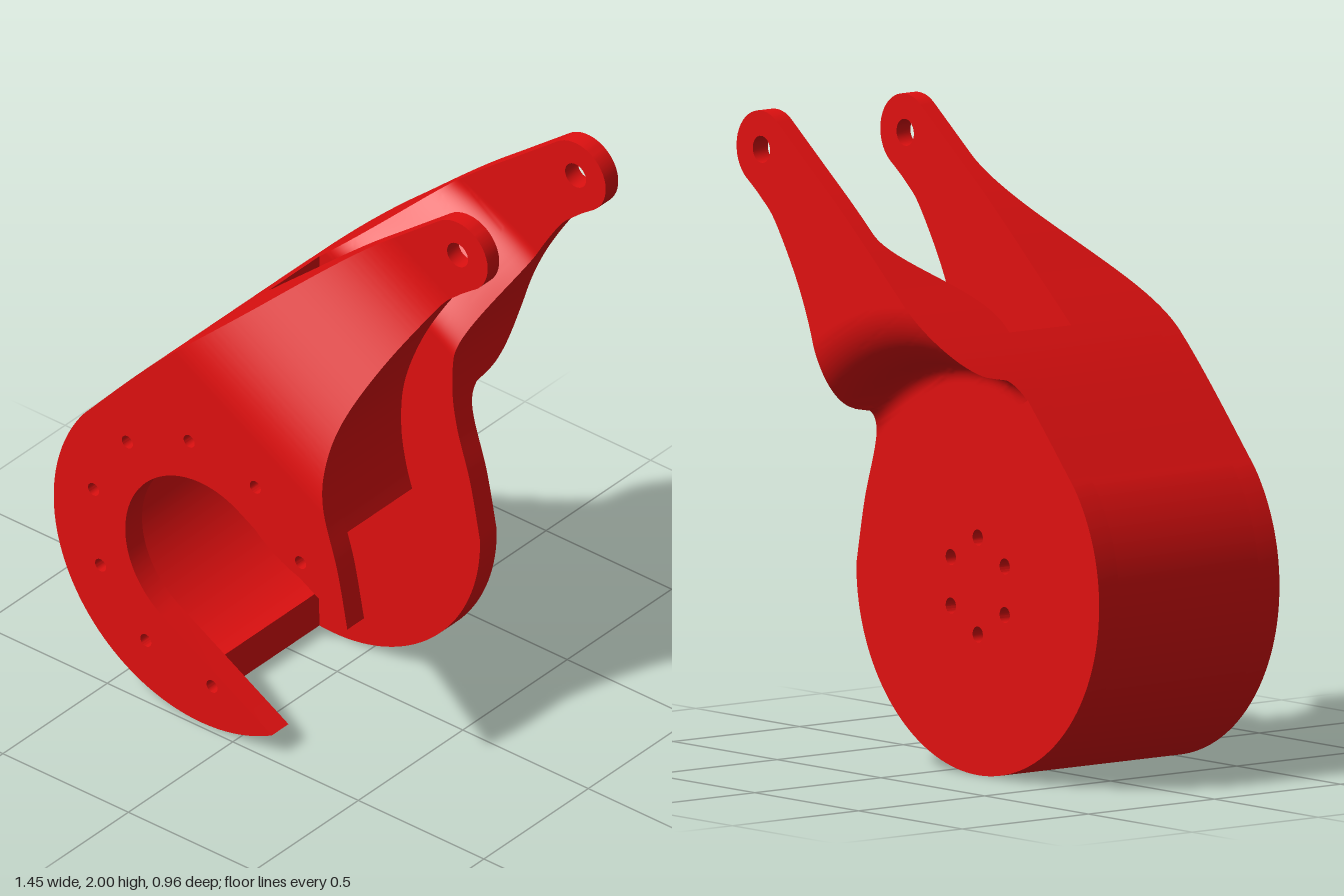
import * as THREE from 'three';
import { toCreasedNormals } from 'three/addons/utils/BufferGeometryUtils.js';

// Local frame: X across the arm, Y along the arm, origin at the hub centre.
const RAD = Math.PI / 180, HUB = 0.585, TIP = 0.12, TIP_Y = 1.49;
const C = Math.cos(30 * RAD), S = 0.5;
const material = new THREE.MeshStandardMaterial({ color: 0xe01010 });
const P = (x, y) => new THREE.Vector2(x, y);

function arc(cx, cy, r, a0, a1, n) {
  return Array.from({ length: n + 1 }, (_, i) => {
    const a = (a0 + (a1 - a0) * i / n) * RAD;
    return P(cx + r * Math.cos(a), cy + r * Math.sin(a));
  });
}

// Side curves of the silhouette, from hub to tip
const spline = (list) => new THREE.SplineCurve(list.map(([x, y]) => P(x, y))).getPoints(70);
const rightEdge = spline([[0.501, 0.301], [0.367, 0.454], [0.235, 0.58], [0.146, 0.696], [0.079, 0.843],
  [0.047, 1.045], [0.05, 1.264], [0.075, 1.36], [0.104, 1.43]]);
const leftEdge = spline([[-0.579, 0.08], [-0.483, 0.507], [-0.354, 0.9], [-0.266, 1.151],
  [-0.186, 1.35], [-0.11, 1.537]]);

// Silhouette, counter-clockwise; the open one stops at the mouth of the slot
const openOutline = [
  ...rightEdge,
  ...arc(0, TIP_Y, TIP, -30, 156.5, 24).slice(1, -1),
  ...leftEdge.slice().reverse(),
  ...arc(0, 0, HUB, 172.1, 329, 60).slice(1),
];
const outline = [...openOutline, ...arc(0, 0, HUB, 329, 391, 24).slice(1, -1)];

// Keep the part of a polygon where a*x + b*y <= d
function clip(poly, a, b, d) {
  const out = [];
  const side = (p) => a * p.x + b * p.y - d;
  poly.forEach((p, i) => {
    const q = poly[(i + 1) % poly.length], sp = side(p), sq = side(q);
    if (sp <= 0) out.push(p);
    if ((sp < 0 && sq > 0) || (sp > 0 && sq < 0)) out.push(p.clone().lerp(q, sp / (sp - sq)));
  });
  return out;
}

function addMesh(group, name, geometry) {
  const mesh = new THREE.Mesh(toCreasedNormals(geometry, 0.5), material);
  mesh.name = name;
  group.add(mesh);
}

// Flat part between two depths; holes are [x, y, radius]
function plate(group, name, points, z0, z1, holes = []) {
  const shape = new THREE.Shape(points);
  holes.forEach(([x, y, r]) => shape.holes.push(new THREE.Path(arc(x, y, r, 360, 0, 20).slice(0, -1))));
  const geometry = new THREE.ExtrudeGeometry(shape, { depth: z1 - z0, bevelEnabled: false });
  addMesh(group, name, geometry.translate(0, 0, z0));
}

function widthAt(edge, y) {
  let i = 1;
  while (i < edge.length - 1 && edge[i].y < y) i++;
  const a = edge[i - 1], b = edge[i];
  return a.x + (b.x - a.x) * (y - a.y) / (b.y - a.y);
}

// Curved arm: closed cross-sections stitched along its length
function arm(group, name, y0, y1, zBack, zFront) {
  const rows = 110, cols = 32, ring = 2 * (cols + 1), pos = [], index = [];
  for (let i = 0; i <= rows; i++) {
    const y = y0 + (y1 - y0) * i / rows;
    const l = widthAt(leftEdge, y), r = widthAt(rightEdge, y);
    for (let k = 0; k < ring; k++) {
      const front = k <= cols;
      const x = l + (r - l) * (front ? k : ring - 1 - k) / cols;
      pos.push(x, y, front ? zFront(x, y) : zBack(x, y));
      if (i === rows) continue;
      const a = i * ring + k, b = i * ring + (k + 1) % ring;
      index.push(a, b, a + ring, b, b + ring, a + ring);
    }
  }
  const geometry = new THREE.BufferGeometry();
  geometry.setAttribute('position', new THREE.Float32BufferAttribute(pos, 3));
  geometry.setIndex(index);
  addMesh(group, name, geometry);
}

const { smoothstep } = THREE.MathUtils;
const frontOuter = (x, y) => 0.48 - 0.335 * smoothstep(y, 0.58, 1.33);
const backInner = (x, y) => -0.155 - 0.265 * smoothstep(Math.hypot(x, y), 0.8, 1.11);
// Back outer face: fillet around the hub, then a rounded shoulder
function backOuter(x, y) {
  const r = Math.hypot(x, y);
  if (r < 0.63) return -0.235;
  if (r < 0.69) return -0.235 - 0.06 * (1 - Math.sqrt(1 - ((r - 0.63) / 0.06) ** 2));
  const t = Math.max(0, (0.88 - r) / 0.19);
  return -0.3 - 0.18 * Math.sqrt(Math.max(0, 1 - t * t));
}

export function createModel() {
  const root = new THREE.Group();
  root.name = 'forkBracket';
  const g = new THREE.Group();
  g.name = 'bracketBody';
  g.position.set(-0.145, 0.59, 0);
  g.rotation.z = -30 * RAD;
  root.add(g);

  const tipHole = [[0, TIP_Y, 0.042]];
  const tip = clip(outline, 0, -1, -1.37);

  // Back disc with its ring of six holes
  const hubHoles = arc(0, 0, 0.15, 0, 300, 5).map((p) => [p.x, p.y, 0.025]);
  plate(g, 'backPlate', clip(outline, 0, 1, 0.4), -0.235, -0.155, hubHoles);

  // Front disc with the open slot and its ring of screw holes
  const slotted = [...openOutline, ...arc(0, 0, 0.3, 270, 90, 40)];
  const screwHoles = arc(0, 0, 0.436, 54, 306, 7).map((p) => [p.x, p.y, 0.022]);
  plate(g, 'frontPlate', clip(slotted, 0, 1, 0.58), 0.4, 0.48, screwHoles);

  // Curved wall joining both plates, hollowed by a round pocket
  const wall = [...clip(outline, C, S, -0.055), ...arc(0, 0, 0.46, 292.9, 127, 60)];
  plate(g, 'spineWall', wall, -0.155, 0.4);

  // Thick root of the front arm with its level ledge
  let block = clip(outline, 0, 1, 0.58);
  block = clip(block, S, -C, -0.3);
  block = clip(block, -C, -S, 0.055);
  plate(g, 'frontArmRoot', block, 0.09, 0.4);

  // Arms and drilled tips
  arm(g, 'frontArm', 0.58, 1.37, () => 0.09, frontOuter);
  plate(g, 'frontArmTip', tip, 0.09, 0.145, tipHole);
  arm(g, 'backArm', 0.4, 1.37, backOuter, backInner);
  plate(g, 'backArmTip', tip, -0.48, -0.42, tipHole);

  return root;
}
